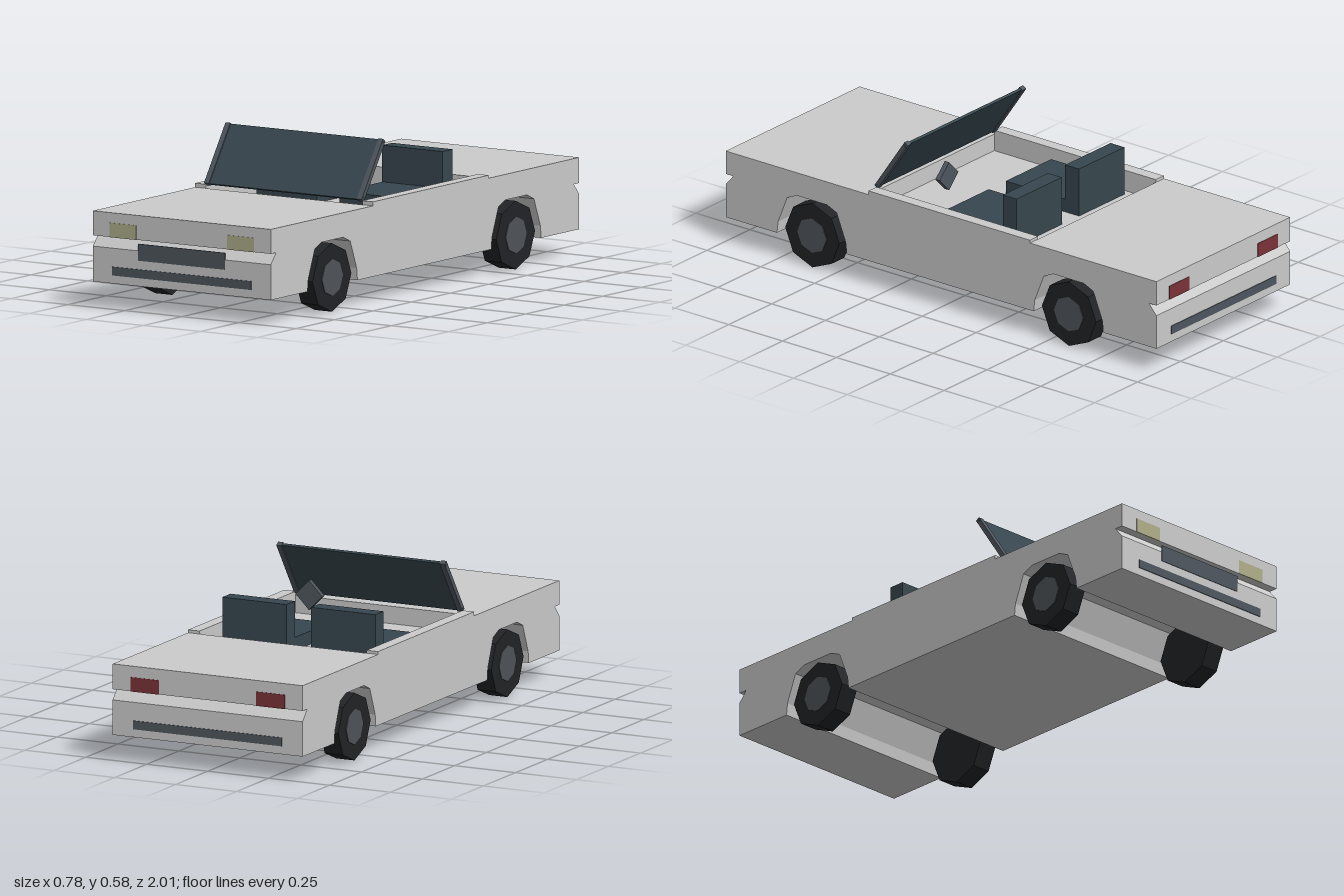
import * as THREE from 'three';

const mat = (color) => new THREE.MeshStandardMaterial({ color, flatShading: true });
const paint = mat(0xcccccc), navy = mat(0x37474f), trim = mat(0x4f565e);
const rubber = mat(0x212326), hubGrey = mat(0x4f545a), lamp = mat(0xb0ae8a), tail = mat(0x7a3238);

function add(parent, name, geometry, material, x = 0, y = 0, z = 0) {
  const mesh = new THREE.Mesh(geometry, material);
  mesh.name = name;
  mesh.position.set(x, y, z);
  parent.add(mesh);
  return mesh;
}

const box = (w, h, d) => new THREE.BoxGeometry(w, h, d);

// Extrudes a side outline of [z, y] points from x0 to x1
function slab(points, x0, x1) {
  const shape = new THREE.Shape(points.map(([z, y]) => new THREE.Vector2(z, y)));
  const geometry = new THREE.ExtrudeGeometry(shape, { depth: x1 - x0, bevelEnabled: false });
  return geometry.rotateY(-Math.PI / 2).translate(x1, 0, 0);
}

const BOTTOM = 0.095, FRONT_AXLE = 0.6, REAR_AXLE = -0.592;

// Wheel arch from rear to front around an axle
const arch = (z) => [[-0.162, BOTTOM], [-0.157, 0.14], [-0.115, 0.245], [-0.07, 0.265],
  [0.07, 0.265], [0.115, 0.245], [0.157, 0.14], [0.162, BOTTOM]].map(([dz, y]) => [z + dz, y]);

// Outline of the body with the given top edge, listed from front to rear
const outline = (top) => [
  [-1, BOTTOM], ...arch(REAR_AXLE), ...arch(FRONT_AXLE), [1, BOTTOM],
  [1, 0.225], [0.965, 0.265], [1, 0.265], [1, 0.355],
  ...top,
  [-1, 0.359], [-1, 0.265], [-0.965, 0.265], [-1, 0.225],
];

export function createModel() {
  const model = new THREE.Group();
  model.name = 'convertible';

  // Body: a centre section with the open cabin, and a raised sill on each side
  const body = new THREE.Group();
  body.name = 'body';
  model.add(body);
  const cabin = [[0.337, 0.355], [0.337, 0.29], [-0.413, 0.29], [-0.413, 0.359]];
  const sill = [[0.337, 0.355], [0.337, 0.37], [-0.413, 0.37], [-0.413, 0.359]];
  add(body, 'bodyCentre', slab(outline(cabin), -0.343, 0.343), paint);
  add(body, 'leftBodySide', slab(outline(sill), 0.343, 0.39), paint);
  add(body, 'rightBodySide', slab(outline(sill), -0.39, -0.343), paint);

  // Lamps, grille and bumper strips
  for (const side of [-1, 1]) {
    add(model, 'headlight', box(0.117, 0.053, 0.004), lamp, side * 0.258, 0.291, 1);
    add(model, 'tailLight', box(0.117, 0.053, 0.004), tail, side * 0.258, 0.291, -1);
  }
  add(model, 'grille', box(0.38, 0.062, 0.004), trim, 0, 0.22, 1);
  for (const end of [-1, 1]) {
    add(model, 'bumperStrip', box(0.61, 0.032, 0.008), trim, 0, 0.141, end * 0.999);
  }

  // Wheels: eight sides, a corner at the top, with a flat hub
  for (const side of [-1, 1]) {
    for (const z of [FRONT_AXLE, REAR_AXLE]) {
      const wheel = new THREE.Group();
      wheel.name = 'wheel';
      wheel.position.set(side * 0.35, 0.126, z);
      model.add(wheel);
      add(wheel, 'tyre', new THREE.CylinderGeometry(0.126, 0.126, 0.075, 8).rotateZ(Math.PI / 2), rubber);
      add(wheel, 'hub', new THREE.CylinderGeometry(0.068, 0.068, 0.006, 8).rotateZ(Math.PI / 2), hubGrey, side * 0.037);
    }
  }

  // Seats
  for (const side of [-1, 1]) {
    const seat = new THREE.Group();
    seat.name = 'seat';
    seat.position.x = side * 0.182;
    model.add(seat);
    add(seat, 'seatCushion', box(0.264, 0.05, 0.28), navy, 0, 0.315, -0.09);
    add(seat, 'seatBack', box(0.264, 0.185, 0.064), navy, 0, 0.3825, -0.258);
  }

  // Steering wheel: a thin upright diamond
  add(model, 'steeringWheel', new THREE.CylinderGeometry(0.055, 0.055, 0.02, 4).rotateX(Math.PI / 2),
    trim, 0.18, 0.413, 0.14);

  // Raked windscreen with pillars and rails
  const windscreen = new THREE.Group();
  windscreen.name = 'windscreen';
  windscreen.position.set(0, 0.473, 0.268);
  windscreen.rotation.x = -0.6;
  model.add(windscreen);
  add(windscreen, 'glass', box(0.66, 0.245, 0.01), navy);
  for (const side of [-1, 1]) {
    add(windscreen, 'pillar', box(0.021, 0.248, 0.018), trim, side * 0.335);
    add(windscreen, 'rail', box(0.692, 0.014, 0.009), navy, 0, side * 0.115);
  }
  return model;
}
